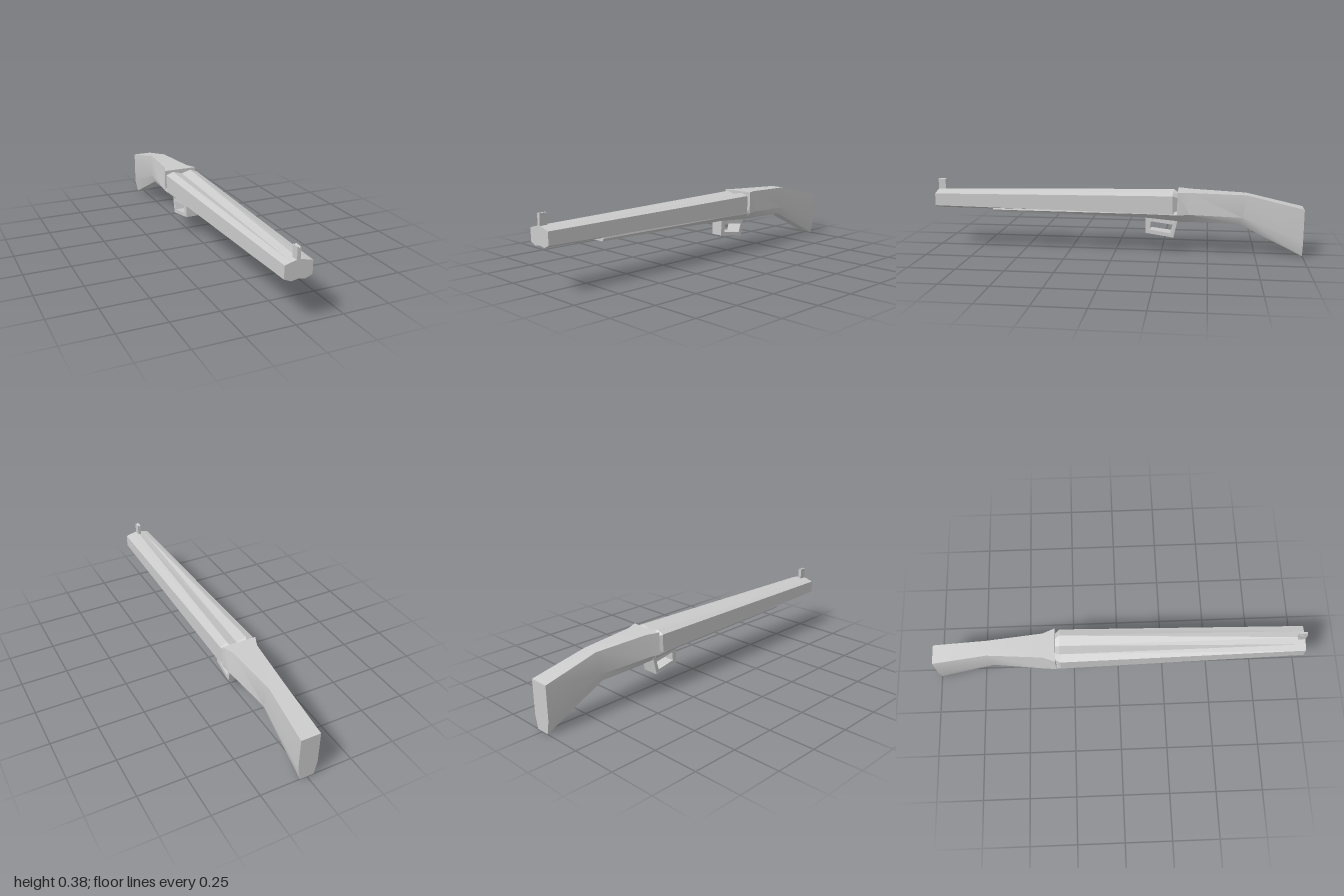
import * as THREE from 'three';
import { toCreasedNormals } from 'three/addons/utils/BufferGeometryUtils.js';

const flat = new THREE.MeshStandardMaterial({ color: 0xcccccc, flatShading: true });
const smooth = new THREE.MeshStandardMaterial({ color: 0xcccccc });

// Closed ring from its +x half, listed bottom to top as [x, y, z].
function ring(z, half) {
  const right = half.map(([x, y, pz = z]) => new THREE.Vector3(x, y, pz));
  const left = right.filter(p => p.x > 0).reverse().map(p => new THREE.Vector3(-p.x, p.y, p.z));
  return [...right, ...left];
}

// Skin over rings ordered front to back, with both ends capped.
function loft(rings) {
  const pos = [];
  const tri = (...pts) => pts.forEach(p => pos.push(p.x, p.y, p.z));
  const n = rings[0].length;
  for (let i = 0; i < rings.length - 1; i++) {
    for (let j = 0; j < n; j++) {
      const k = (j + 1) % n;
      const a = rings[i][j], b = rings[i][k], c = rings[i + 1][k], d = rings[i + 1][j];
      tri(a, d, b);
      tri(b, d, c);
    }
  }
  const cap = (r, back) => {
    const faces = THREE.ShapeUtils.triangulateShape(r.map(p => new THREE.Vector2(p.x, p.y)), []);
    for (const [a, b, c] of faces) back ? tri(r[a], r[c], r[b]) : tri(r[a], r[b], r[c]);
  };
  cap(rings[0], false);
  cap(rings[rings.length - 1], true);
  const g = new THREE.BufferGeometry();
  g.setAttribute('position', new THREE.Float32BufferAttribute(pos, 3));
  g.computeVertexNormals();
  return g;
}

export function createModel() {
  const model = new THREE.Group();
  const add = (name, geometry, material = flat) => {
    const mesh = new THREE.Mesh(geometry, material);
    mesh.name = name;
    model.add(mesh);
    return mesh;
  };

  // Twin barrels, with a chamfered breech end
  const breech = [[0, 0.227], [0.045, 0.212], [0.094, 0.222], [0.094, 0.32], [0.053, 0.335], [0, 0.32]];
  const breechEnd = breech.map(([x, y]) => [x * 0.8, 0.272 + (y - 0.272) * 0.75]);
  add('barrels', loft([
    ring(1, [[0, 0.228], [0.036, 0.222], [0.071, 0.237], [0.071, 0.303], [0.038, 0.312], [0, 0.32]]),
    ring(-0.31, breech),
    ring(-0.335, breechEnd),
  ]));

  // Fore-end below the barrels, running back into the stock
  add('foreEnd', loft([
    ring(0.68, [[0.046, 0.204], [0.054, 0.217], [0.05, 0.235]]),
    ring(-0.16, [[0.05, 0.193], [0.08, 0.218], [0.078, 0.24]]),
    ring(-0.35, [[0.052, 0.177], [0.093, 0.217], [0.088, 0.235]]),
  ]));

  // Stock: square front, thin wrist, tall butt
  add('stock', toCreasedNormals(loft([
    ring(-0.335, [[0.05, 0.178], [0.094, 0.217], [0.094, 0.338]]),
    ring(-0.4, [[0.05, 0.176], [0.09, 0.222], [0.068, 0.336]]),
    ring(-0.7, [[0.038, 0.169, -0.66], [0.052, 0.205, -0.68], [0.042, 0.325]]),
    ring(-1, [[0.038, 0.002], [0.053, 0.075], [0.053, 0.256]]),
  ]), 0.5), smooth);

  // Trigger guard: pierced side profile, wider towards the rear
  const path = pts => pts.map(([z, y]) => new THREE.Vector2(-z, y));
  const side = new THREE.Shape(path([[-0.163, 0.2], [-0.163, 0.105], [-0.315, 0.085], [-0.338, 0.19]]));
  side.holes.push(new THREE.Path(path([[-0.192, 0.17], [-0.187, 0.123], [-0.298, 0.108], [-0.313, 0.156]])));
  const guard = new THREE.ExtrudeGeometry(side, { depth: 2, bevelEnabled: false });
  guard.translate(0, 0, -1).rotateY(Math.PI / 2);
  const p = guard.attributes.position;
  for (let i = 0; i < p.count; i++) {
    const t = (-p.getZ(i) - 0.163) / 0.155;
    p.setX(i, p.getX(i) * (0.034 + 0.012 * Math.min(t, 1)));
  }
  guard.computeVertexNormals();
  add('triggerGuard', guard);

  // Front sight post with a notched top
  const post = new THREE.Shape([[-0.009, 0.305], [0.009, 0.305], [0.009, 0.377], [0.004, 0.377], [0, 0.37],
    [-0.004, 0.377], [-0.009, 0.377]].map(([x, y]) => new THREE.Vector2(x, y)));
  add('frontSight', new THREE.ExtrudeGeometry(post, { depth: 0.04, bevelEnabled: false }))
    .position.set(-0.002, 0, 0.96);

  return model;
}
